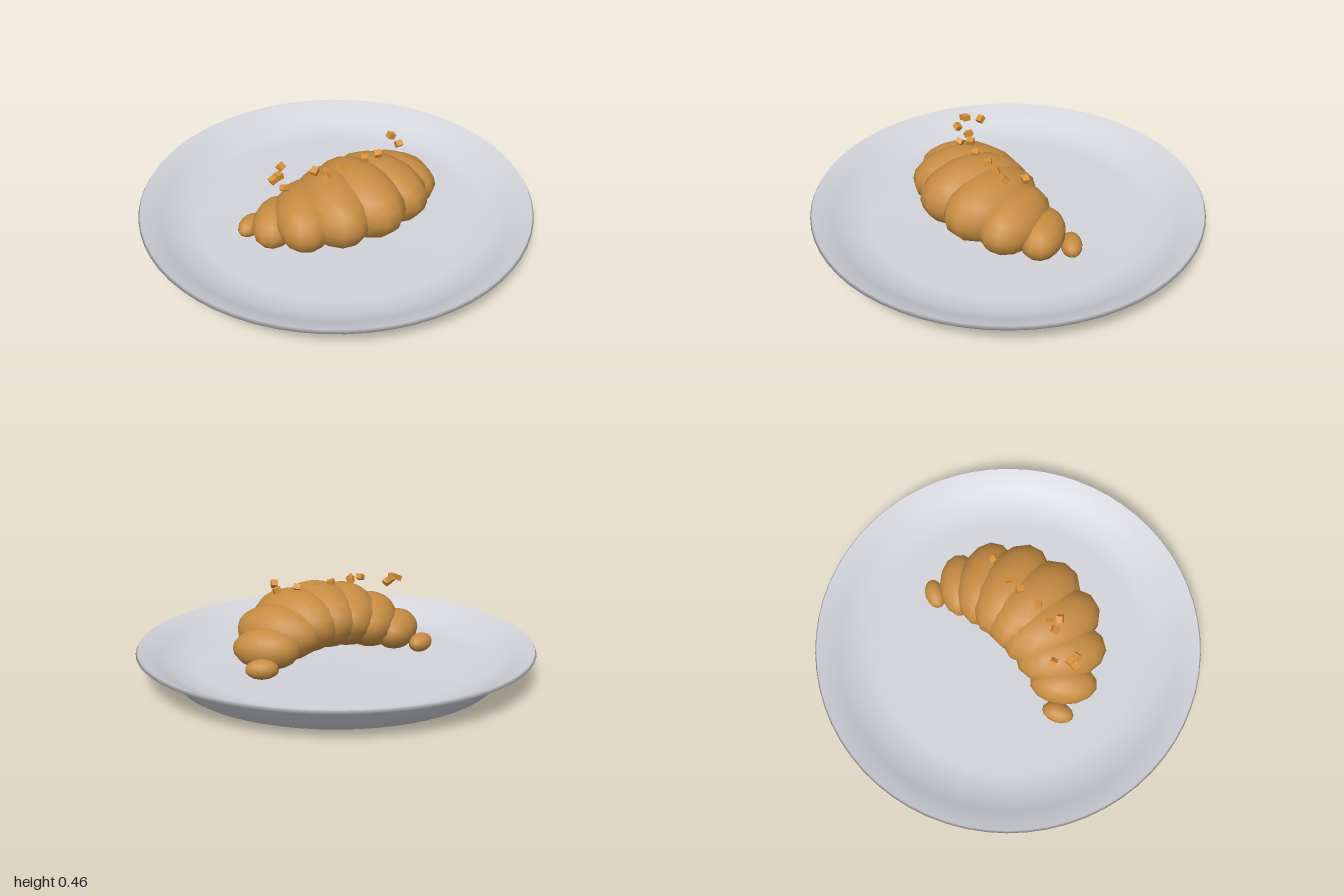
import * as THREE from 'three';

const mat = (name, color) => {
  const m = new THREE.MeshStandardMaterial({ color });
  m.name = name;
  return m;
};

export function createModel() {
  const group = new THREE.Group();
  const ceramic = mat('plateGrey', 0xd2d4da);
  const pastry = mat('bakedBrown', 0xc68c42);
  const flake = mat('flakeOrange', 0xd9913a);

  // Plate: closed profile from underside, round the rim, to the shallow floor
  const profile = [[0, 0], [0.82, 0], [0.9, 0.085], [1, 0.14], [0.99, 0.155],
    [0.89, 0.1], [0.8, 0.055], [0.7, 0.045], [0, 0.04]];
  const plate = new THREE.Mesh(
    new THREE.LatheGeometry(profile.map(([x, y]) => new THREE.Vector2(x, y)), 64), ceramic);
  plate.name = 'plate';
  group.add(plate);

  // Croissant: flattened lobes along an arc, shrinking toward both tips
  const croissant = new THREE.Group();
  croissant.name = 'croissant';
  const lobeGeo = new THREE.SphereGeometry(1, 14, 10);
  const arcRadius = 0.51, arcZ = -0.32, step = THREE.MathUtils.degToRad(16);
  const lobes = [[0.285, 0.24], [0.272, 0.23], [0.235, 0.195], [0.172, 0.148], [0.082, 0.09]]; // radius, height
  for (let i = -4; i <= 4; i++) {
    const [r, y] = lobes[Math.abs(i)];
    const a = i * step;
    const lobe = new THREE.Mesh(lobeGeo, pastry);
    lobe.name = 'croissantLobe';
    lobe.scale.set(r * 0.65, r * 0.6, r);
    lobe.position.set(Math.sin(a) * arcRadius, y, arcZ + Math.cos(a) * arcRadius);
    lobe.rotation.y = a;
    croissant.add(lobe);
  }
  group.add(croissant);

  // Flakes: small tumbled blocks scattered above the pastry
  const flakes = new THREE.Group();
  flakes.name = 'flakes';
  const flakeGeo = new THREE.BoxGeometry(0.036, 0.028, 0.032);
  const spots = [
    [-0.40, 0.42, 0.05], [-0.37, 0.43, 0.05], [-0.37, 0.39, 0.10], [-0.32, 0.43, -0.01],
    [-0.21, 0.43, 0.115], [-0.185, 0.415, 0.175], [-0.16, 0.415, 0.13], [-0.055, 0.41, 0.155],
    [0.065, 0.415, 0.147], [0.148, 0.41, 0.147], [0.265, 0.435, 0.165], [0.295, 0.425, 0.07],
  ];
  spots.forEach((p, i) => {
    const f = new THREE.Mesh(flakeGeo, flake);
    f.name = 'flake';
    f.position.set(...p);
    f.rotation.set(Math.sin(i * 2.3) * 0.5, i * 1.7, Math.cos(i * 3.1) * 0.4);
    flakes.add(f);
  });
  group.add(flakes);

  return group;
}
